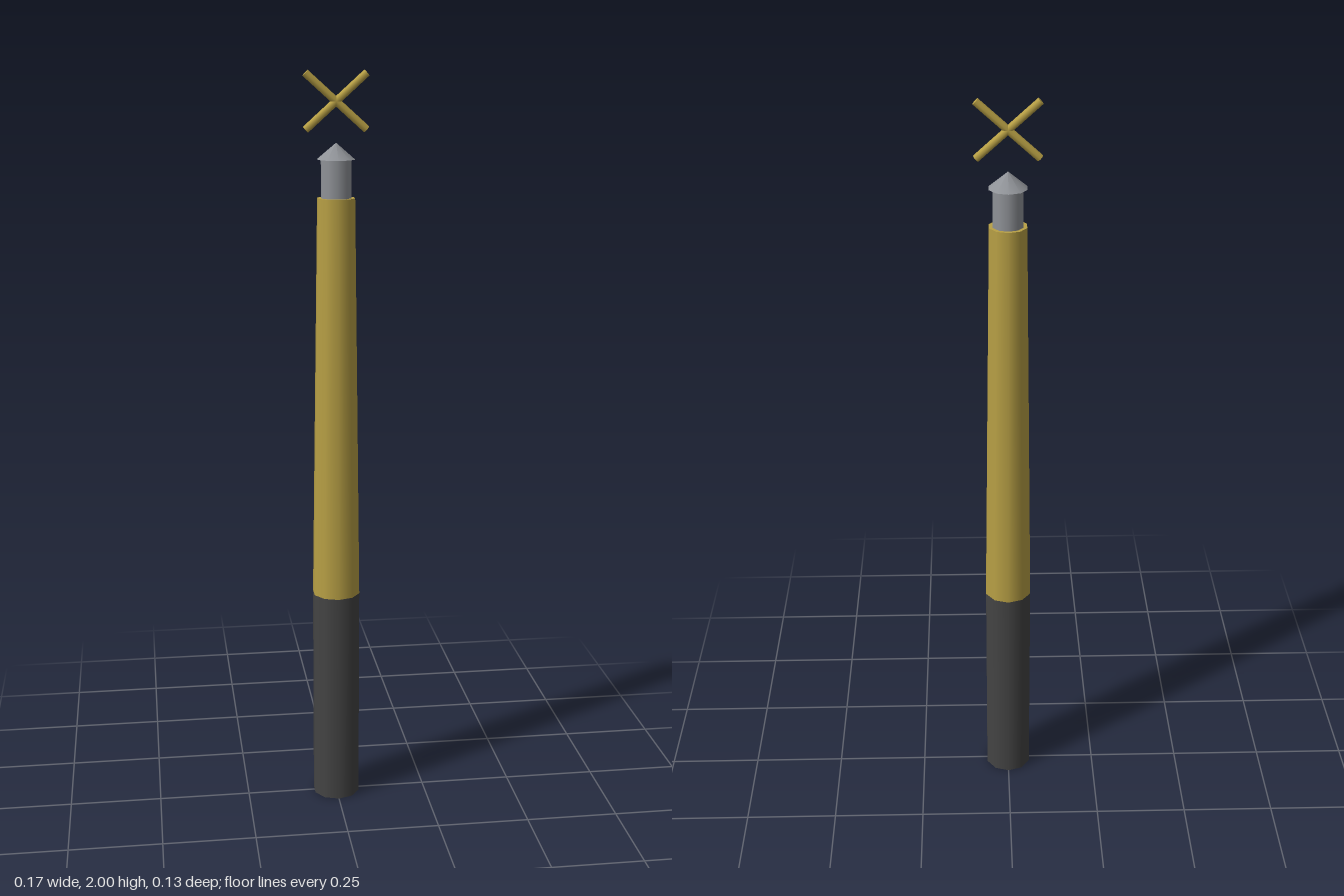
import * as THREE from 'three';

const gold = new THREE.MeshStandardMaterial({ color: 0xb8a045 });
const dark = new THREE.MeshStandardMaterial({ color: 0x444444 });
const steel = new THREE.MeshStandardMaterial({ color: 0x909398 });

// Ten-sided upright section between heights y0 and y1
function section(name, rTop, rBottom, y0, y1, material) {
  const mesh = new THREE.Mesh(new THREE.CylinderGeometry(rTop, rBottom, y1 - y0, 10), material);
  mesh.name = name;
  mesh.position.y = (y0 + y1) / 2;
  return mesh;
}

export function createModel() {
  const model = new THREE.Group();
  model.name = 'staff';

  // Shaft, from the grip up to the pointed cap
  model.add(
    section('grip', 0.065, 0.065, 0, 0.6, dark),
    section('taperedShaft', 0.05, 0.065, 0.6, 1.68, gold),
    section('neck', 0.04, 0.04, 1.68, 1.78, steel),
    section('cap', 0, 0.05, 1.778, 1.82, steel),
  );

  // Two thin crossed bars floating above the cap
  const cross = new THREE.Group();
  cross.name = 'crossedBars';
  cross.position.y = 1.923;
  for (const side of [-1, 1]) {
    const bar = new THREE.Mesh(new THREE.CylinderGeometry(0.01, 0.01, 0.211, 8), gold);
    bar.name = side < 0 ? 'risingBar' : 'fallingBar';
    bar.rotation.z = side * (Math.PI / 2 - 0.73);
    cross.add(bar);
  }
  model.add(cross);

  return model;
}
